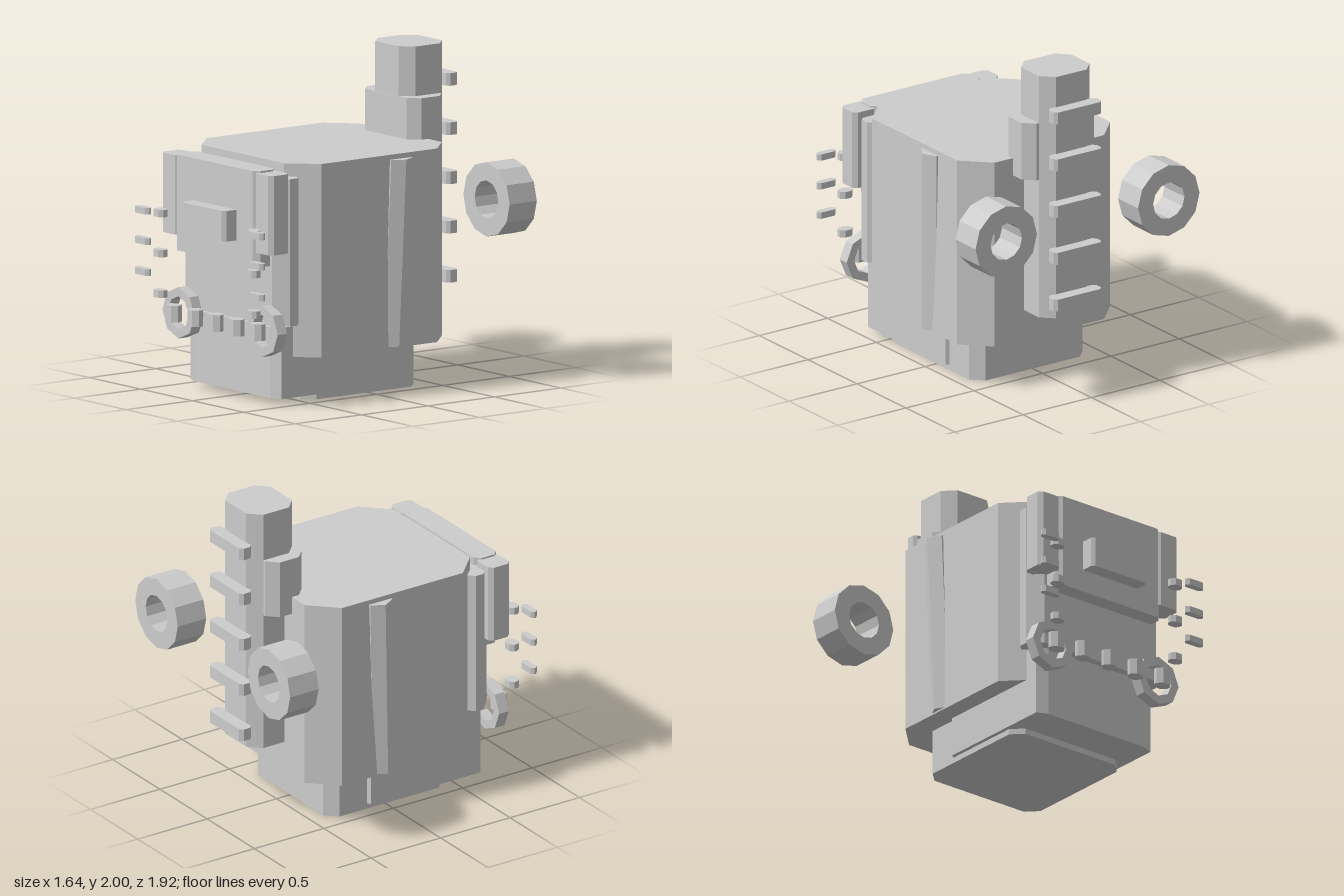
import * as THREE from 'three';

const grey = new THREE.MeshStandardMaterial({ color: 0xcccccc });
grey.name = 'plain grey';

export function createModel() {
  const model = new THREE.Group();
  model.name = 'blockyRobot';

  const add = (name, geometry) => {
    const mesh = new THREE.Mesh(geometry, grey);
    mesh.name = name;
    model.add(mesh);
    return mesh;
  };

  // Upright block with its four vertical edges cut off
  const block = (name, [x0, x1], [y0, y1], [z0, z1], cx, cz = cx) => {
    const s = new THREE.Shape([
      [x0 + cx, -z1], [x1 - cx, -z1], [x1, -z1 + cz], [x1, -z0 - cz],
      [x1 - cx, -z0], [x0 + cx, -z0], [x0, -z0 - cz], [x0, -z1 + cz],
    ].map(([x, y]) => new THREE.Vector2(x, y)));
    const g = new THREE.ExtrudeGeometry(s, { depth: y1 - y0, bevelEnabled: false });
    g.rotateX(-Math.PI / 2).translate(0, y0, 0);
    return add(name, g);
  };

  // Faceted ring with a hole, facing the front
  const ring = (name, sides, outer, inner, x, y, z0, z1) => {
    const points = (r) => Array.from({ length: sides }, (_, i) => {
      const a = (i / sides) * Math.PI * 2;
      return new THREE.Vector2(Math.cos(a) * r, Math.sin(a) * r);
    });
    const s = new THREE.Shape(points(outer));
    s.holes.push(new THREE.Path(points(inner)));
    const g = new THREE.ExtrudeGeometry(s, { depth: z1 - z0, bevelEnabled: false });
    return add(name, g.translate(x, y, z0));
  };

  // Body and base
  block('body', [-0.56, 0.56], [0.28, 1.45], [-0.57, 0.62], 0.16);
  block('frontBase', [-0.44, 0.44], [0.035, 0.465], [-0.15, 0.7], 0.07, 0.03);
  block('foot', [-0.415, 0.415], [0, 0.3], [-0.4, 0.455], 0.07);

  // Layered chest
  block('chestPlate', [-0.5, 0.5], [0.48, 1.37], [0.52, 0.725], 0.08, 0.075);
  block('chestPanel', [-0.4, 0.4], [0.84, 1.42], [0.67, 0.83], 0.035);
  block('chestBadge', [-0.21, 0.21], [0.98, 1.165], [0.8, 0.925], 0.02);

  // Back column, its collar and the rungs
  block('backColumn', [-0.185, 0.185], [0.465, 2], [-0.795, -0.465], 0.073);
  block('columnCollar', [-0.265, 0.265], [1.34, 1.7], [-0.72, -0.458], 0.063);
  for (let i = 0; i < 5; i++) {
    const y = 0.58 + i * 0.2975;
    block('rung', [-0.175, 0.175], [y - 0.038, y + 0.038], [-0.875, -0.79], 0.02);
  }

  // Row of beads across the waist
  for (let i = -2; i <= 2; i++) {
    const x = i * 0.203;
    block('bead', [x - 0.052, x + 0.052], [0.405, 0.505], [0.78, 0.862], 0.03);
  }

  for (const side of [-1, 1]) {
    const span = (a, b) => (side > 0 ? [a, b] : [-b, -a]);
    block('chestSidePost', span(0.37, 0.535), [0.93, 1.41], [0.675, 0.825], 0.025);
    ring('waistRing', 8, 0.155, 0.1, side * 0.405, 0.452, 0.72, 0.79);
    ring('backRing', 12, 0.225, 0.115, side * 0.595, 1.11, -0.96, -0.755);

    // Small floating finger bars
    for (const y of [0.575, 0.82, 1.062])
      block('innerFinger', span(0.408, 0.497), [y - 0.022, y + 0.022], [0.852, 0.922], 0.022);
    for (const y of [0.7, 0.887, 1.07])
      block('outerFinger', span(0.487, 0.62), [y - 0.02, y + 0.02], [0.918, 0.963], 0.018);

    // Slanted ridge down the flank, leaning back towards the top
    const ridge = new THREE.Shape([
      new THREE.Vector2(0.5, 0.08), new THREE.Vector2(0.555, 0.08),
      new THREE.Vector2(0.6, 0), new THREE.Vector2(0.555, -0.08), new THREE.Vector2(0.5, -0.08),
    ].map((p) => new THREE.Vector2(p.x * side, p.y)));
    const g = new THREE.ExtrudeGeometry(ridge, { depth: 1.13, bevelEnabled: false });
    g.rotateX(-Math.PI / 2).translate(0, 0.29, 0);
    const p = g.attributes.position;
    for (let i = 0; i < p.count; i++) {
      const t = (p.getY(i) - 0.29) / 1.13;
      p.setX(i, p.getX(i) + side * (t * 0.025 - 0.008));
      p.setZ(i, p.getZ(i) - 0.1 - t * 0.035);
    }
    g.computeVertexNormals();
    add('flankRidge', g);
  }
  return model;
}
